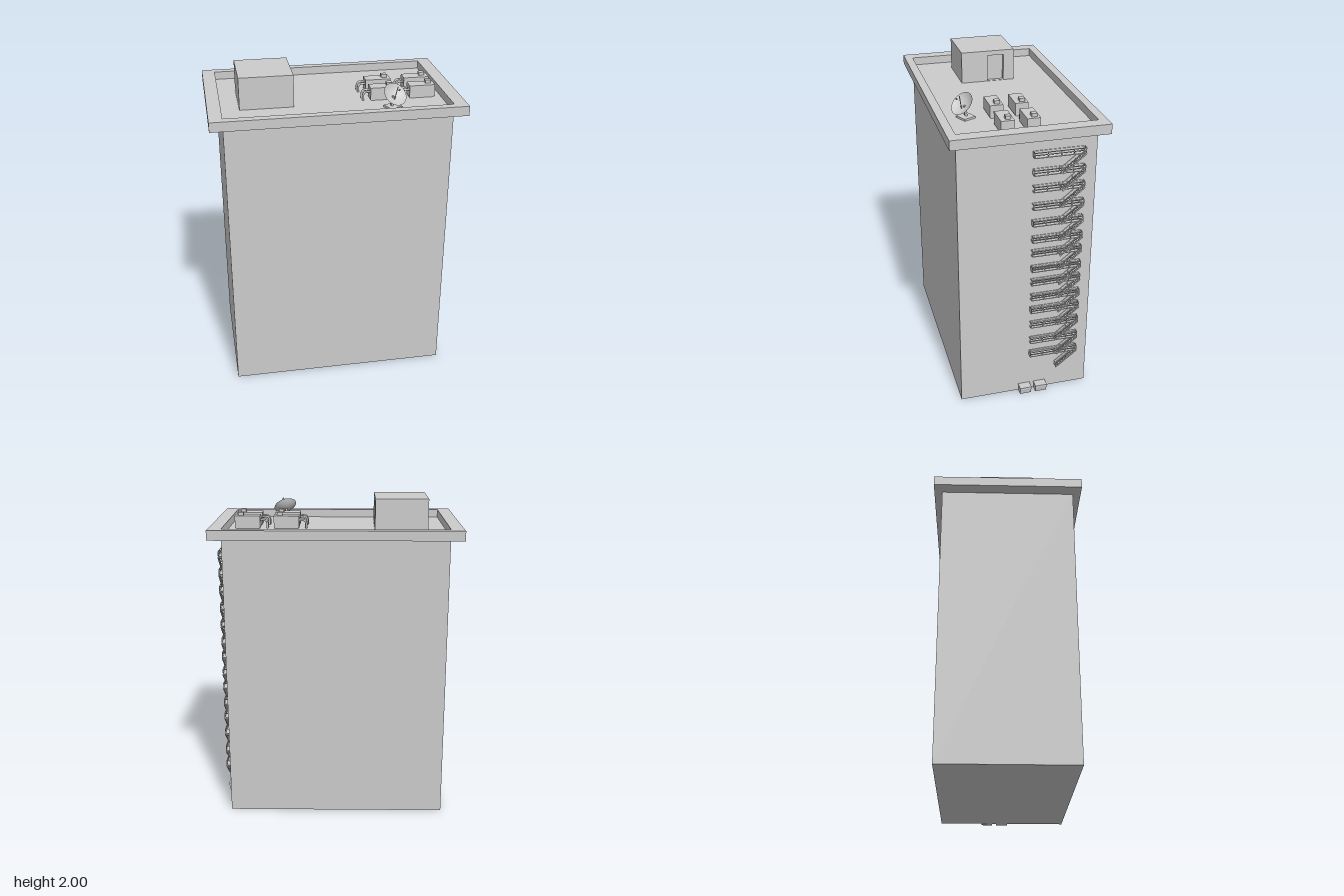
import * as THREE from 'three';

const material = new THREE.MeshStandardMaterial({ color: 0xcccccc, flatShading: true });
const smooth = new THREE.MeshStandardMaterial({ color: 0xcccccc, side: THREE.DoubleSide });

const FLOOR = 1.8; // roof deck height

function add(parent, name, geometry, mat = material) {
  const mesh = new THREE.Mesh(geometry, mat);
  mesh.name = name;
  parent.add(mesh);
  return mesh;
}

// Box given by its minimum and maximum corners
function box(parent, name, [x0, y0, z0], [x1, y1, z1]) {
  const mesh = add(parent, name, new THREE.BoxGeometry(x1 - x0, y1 - y0, z1 - z0));
  mesh.position.set((x0 + x1) / 2, (y0 + y1) / 2, (z0 + z1) / 2);
  return mesh;
}

// Square bar between two points
function bar(parent, name, a, b, t = 0.004) {
  const from = new THREE.Vector3(...a), to = new THREE.Vector3(...b);
  const mesh = add(parent, name, new THREE.BoxGeometry(t, t, from.distanceTo(to)));
  mesh.position.copy(from).lerp(to, 0.5);
  mesh.lookAt(to);
  return mesh;
}

function rectangle(Type, x0, y0, x1, y1) {
  return new Type([[x0, y0], [x1, y0], [x1, y1], [x0, y1]].map(p => new THREE.Vector2(...p)));
}

function group(parent, name) {
  const g = new THREE.Group();
  g.name = name;
  parent.add(g);
  return g;
}

// Rooftop stair house with a recessed door in its +x wall
function stairHouse(parent) {
  const g = group(parent, 'stairHouse');
  box(g, 'houseCore', [-0.57, FLOOR, -0.175], [-0.265, 2, 0.17]);
  const wall = rectangle(THREE.Shape, -0.17, FLOOR, 0.175, 2);
  wall.holes.push(rectangle(THREE.Path, 0, FLOOR + 0.002, 0.105, 1.97));
  const front = add(g, 'doorWall', new THREE.ExtrudeGeometry(wall, { depth: 0.025, bevelEnabled: false }));
  front.rotation.y = Math.PI / 2;
  front.position.x = -0.265;
}

// Air conditioner with top cap and two bent pipes
function airConditioner(parent, x, z) {
  const g = group(parent, 'airConditioner');
  g.position.set(x, FLOOR, z);
  box(g, 'casing', [-0.08, 0.006, -0.04], [0.08, 0.08, 0.04]);
  box(g, 'casingBase', [-0.076, 0, -0.036], [0.076, 0.006, 0.036]);
  box(g, 'cap', [0.026, 0.08, -0.024], [0.06, 0.1, 0.008]);
  for (const side of [-1, 1]) {
    const path = new THREE.CatmullRomCurve3([
      [-0.075, 0.052], [-0.105, 0.052], [-0.119, 0.046], [-0.124, 0.032], [-0.124, 0],
    ].map(([px, py]) => new THREE.Vector3(px, py, side * 0.021)));
    add(g, 'pipe', new THREE.TubeGeometry(path, 12, 0.007, 8), smooth);
  }
}

// Tilted satellite dish on a mast
function satelliteDish(parent) {
  const g = group(parent, 'satelliteDish');
  const yaw = 0.45;
  const base = add(g, 'dishBase', new THREE.BoxGeometry(0.08, 0.012, 0.08));
  base.position.set(0.345, FLOOR + 0.006, 0.278);
  base.rotation.y = yaw;
  bar(g, 'mast', [0.34, FLOOR, 0.275], [0.342, 1.875, 0.285], 0.014);

  const dish = group(g, 'dish');
  dish.position.set(0.342, 1.872, 0.283);
  const normal = new THREE.Vector3(0.3, 0.7, 0.65).normalize();
  dish.quaternion.setFromUnitVectors(new THREE.Vector3(0, 1, 0), normal);
  const profile = [];
  for (let i = 0; i <= 6; i++) {
    const r = 0.075 * i / 6;
    profile.push(new THREE.Vector2(r, 0.03 * (r / 0.075) ** 2));
  }
  add(dish, 'reflector', new THREE.LatheGeometry(profile, 32), smooth);
  bar(dish, 'feedArm', [0, 0, 0], [0, 0.085, 0.0001], 0.004);
  const feed = add(dish, 'feedHorn', new THREE.CylinderGeometry(0.005, 0.005, 0.012, 8));
  feed.position.y = 0.083;
}

// Fire escape: one landing and one downward flight per level
function fireEscape(parent) {
  const levels = [1.665, 1.555, 1.45, 1.335, 1.225, 1.115, 1.02, 0.91, 0.815, 0.705, 0.61, 0.5, 0.38, 0.275];
  const xIn = 0.688, xOut = 0.718, z0 = -0.34, z1 = -0.03, rail = 0.034;
  const g = group(parent, 'fireEscape');
  levels.forEach((y) => {
    const landing = group(g, 'landing');
    box(landing, 'deck', [0.684, y, z0], [0.72, y + 0.005, z1]);
    for (const x of [xIn, xOut]) {
      for (const h of [rail, 0.02]) bar(landing, 'rail', [x, y + h, z0], [x, y + h, z1]);
      for (const z of [z0 + 0.002, -0.265, -0.19, -0.11, z1 - 0.002]) {
        bar(landing, 'post', [x, y, z], [x, y + rail, z + 0.0001]);
      }
    }
    for (const z of [z0 + 0.002, z1 - 0.002]) {
      bar(landing, 'endRail', [xIn, y + rail, z], [xOut, y + rail, z]);
    }

    // Flight running down towards the front
    const flight = group(g, 'flight');
    const drop = 0.112, run = 0.138, steps = 8;
    for (const x of [xIn, xOut]) {
      for (const h of [0, 0.026]) {
        bar(flight, h ? 'handrail' : 'stringer', [x, y + h, z0], [x, y + h - drop, z0 + run], h ? 0.004 : 0.007);
      }
      for (const t of [0.03, 0.5, 0.97]) {
        const py = y - drop * t, pz = z0 + run * t;
        bar(flight, 'baluster', [x, py, pz], [x, py + 0.026, pz + 0.0001]);
      }
    }
    for (let i = 0; i < steps; i++) {
      const t = (i + 0.5) / steps, py = y - drop * t, pz = z0 + run * t;
      box(flight, 'tread', [xIn, py - 0.002, pz - 0.007], [xOut, py + 0.002, pz + 0.007]);
    }
  });
}

// Tapered waste container with a lid
function wasteBin(parent, zCentre, width) {
  const g = group(parent, 'wasteBin');
  const outline = [[0.694, 0], [0.73, 0], [0.737, 0.036], [0.737, 0.044], [0.688, 0.044], [0.688, 0.03]];
  const shape = new THREE.Shape(outline.map(p => new THREE.Vector2(...p)));
  const bin = add(g, 'binBody', new THREE.ExtrudeGeometry(shape, { depth: width, bevelEnabled: false }));
  bin.position.z = zCentre - width / 2;
  box(g, 'binLid', [0.686, 0.044, zCentre - width / 2 - 0.001], [0.739, 0.05, zCentre + width / 2 + 0.001]);
}

export function createModel() {
  const model = new THREE.Group();
  model.name = 'building';

  // Main block and overhanging parapet
  box(model, 'mainBlock', [-0.685, 0, -0.415], [0.685, FLOOR, 0.415]);
  const ring = rectangle(THREE.Shape, -0.765, -0.465, 0.765, 0.465);
  ring.holes.push(rectangle(THREE.Path, -0.684, -0.414, 0.684, 0.414));
  const parapet = add(model, 'parapet', new THREE.ExtrudeGeometry(ring, { depth: 0.06, bevelEnabled: false }));
  parapet.rotation.x = -Math.PI / 2;
  parapet.position.y = 1.79;

  // Rooftop equipment
  stairHouse(model);
  for (const x of [0.317, 0.563]) for (const z of [-0.046, 0.106]) airConditioner(model, x, z);
  satelliteDish(model);

  // Side wall and street level
  fireEscape(model);
  wasteBin(model, 0, 0.074);
  wasteBin(model, -0.103, 0.074);

  return model;
}
